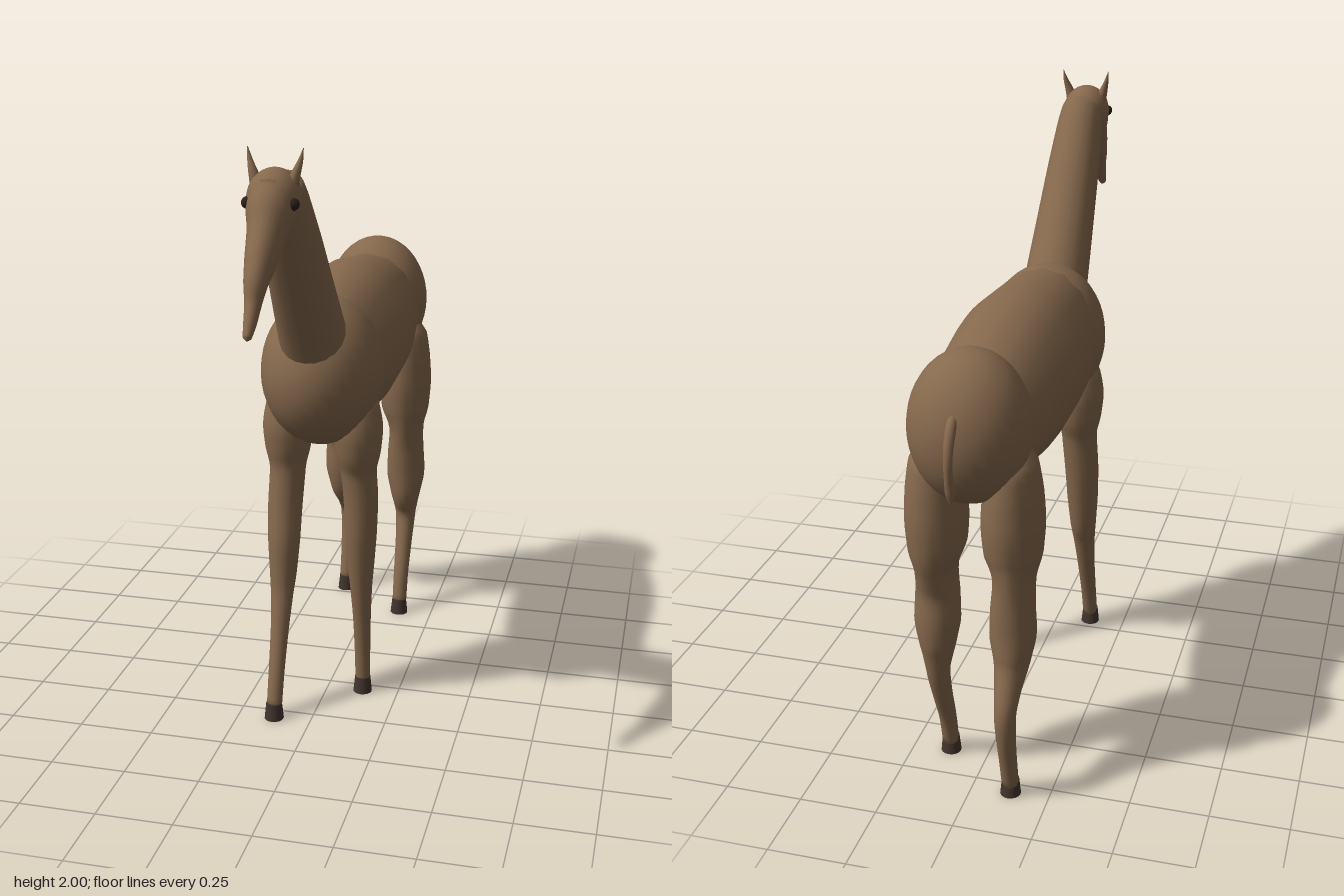
import * as THREE from 'three';

const hide = new THREE.MeshStandardMaterial({ color: 0x86694d });
hide.name = 'brown hide';
const horn = new THREE.MeshStandardMaterial({ color: 0x43352d });
horn.name = 'dark hoof';
const black = new THREE.MeshStandardMaterial({ color: 0x2a211d });
black.name = 'dark eye';

// Smooth skin through elliptical sections [x, y, z, half width, half depth]
function loft(name, sections, sides = 20, steps = 4, material = hide) {
  const path = new THREE.CatmullRomCurve3(sections.map(s => new THREE.Vector3(s[0], s[1], s[2])));
  const size = new THREE.CatmullRomCurve3(sections.map(s => new THREE.Vector3(s[3], s[4], 0)));
  const rows = (sections.length - 1) * steps;
  const across = new THREE.Vector3(1, 0, 0);
  const pos = [], index = [];
  for (let i = 0; i <= rows; i++) {
    const c = path.getPoint(i / rows), r = size.getPoint(i / rows);
    const normal = path.getTangent(i / rows).setX(0).normalize().cross(across);
    for (let j = 0; j < sides; j++) {
      const a = j / sides * Math.PI * 2;
      const p = c.clone()
        .addScaledVector(across, Math.max(r.x, 0.001) * Math.cos(a))
        .addScaledVector(normal, Math.max(r.y, 0.001) * Math.sin(a));
      pos.push(p.x, p.y, p.z);
    }
  }
  const start = pos.length / 3;
  pos.push(...path.getPoint(0).toArray(), ...path.getPoint(1).toArray());
  for (let j = 0; j < sides; j++) {
    const k = (j + 1) % sides, last = rows * sides;
    for (let i = 0; i < rows; i++) {
      const a = i * sides + j, b = i * sides + k;
      index.push(a, b, a + sides, b, b + sides, a + sides);
    }
    index.push(start, k, j, start + 1, last + j, last + k);
  }
  const geo = new THREE.BufferGeometry();
  geo.setAttribute('position', new THREE.Float32BufferAttribute(pos, 3));
  geo.setIndex(index);
  geo.computeVertexNormals();
  const mesh = new THREE.Mesh(geo, material);
  mesh.name = name;
  return mesh;
}

function ball(name, x, y, z, rx, ry, rz, material = hide) {
  const mesh = new THREE.Mesh(new THREE.SphereGeometry(1, 32, 22), material);
  mesh.position.set(x, y, z);
  mesh.scale.set(rx, ry, rz);
  mesh.name = name;
  return mesh;
}

// Leg from rows of [y, z, half width, half depth], ending in a hoof
function leg(name, side, rows) {
  const group = new THREE.Group();
  group.name = name;
  group.add(loft(name + 'Limb', rows.map(([y, z, w, d]) =>
    [side * (y > 0.8 ? 0.12 : 0.126), y, z, w, d])));
  const foot = rows[rows.length - 1];
  const hoof = new THREE.Mesh(new THREE.CylinderGeometry(0.027, 0.033, 0.058, 16), horn);
  hoof.position.set(side * 0.126, 0.029, foot[1] + 0.003);
  hoof.name = name + 'Hoof';
  group.add(hoof);
  return group;
}

export function createModel() {
  const model = new THREE.Group();
  model.name = 'longNeckedGrazer';

  // Trunk
  model.add(
    loft('barrel', [
      [0, 1.21, 0.2, 0.15, 0.19],
      [0, 1.21, 0.08, 0.188, 0.24],
      [0, 1.211, -0.08, 0.204, 0.259],
      [0, 1.212, -0.24, 0.211, 0.267],
      [0, 1.211, -0.4, 0.206, 0.257],
      [0, 1.208, -0.6, 0.186, 0.224],
      [0, 1.208, -0.74, 0.14, 0.18]], 16),
    ball('chest', 0, 1.2, 0.11, 0.2, 0.25, 0.24),
    ball('rump', 0, 1.23, -0.75, 0.186, 0.237, 0.18));

  // Neck and head
  model.add(
    loft('neck', [
      [0, 1.21, 0.145, 0.115, 0.13],
      [0, 1.37, 0.257, 0.107, 0.115],
      [0, 1.53, 0.37, 0.098, 0.105],
      [0, 1.7, 0.488, 0.088, 0.096],
      [0, 1.83, 0.578, 0.077, 0.086],
      [0, 1.88, 0.612, 0.068, 0.074],
      [0, 1.9, 0.626, 0.03, 0.035]]),
    ball('skull', 0, 1.856, 0.667, 0.08, 0.09, 0.092),
    loft('snout', [
      [0, 1.87, 0.67, 0.07, 0.08],
      [0, 1.83, 0.705, 0.071, 0.083],
      [0, 1.775, 0.755, 0.055, 0.07],
      [0, 1.712, 0.815, 0.045, 0.06],
      [0, 1.66, 0.867, 0.034, 0.042],
      [0, 1.61, 0.895, 0.024, 0.028],
      [0, 1.56, 0.93, 0.018, 0.022],
      [0, 1.53, 0.957, 0.012, 0.014],
      [0, 1.523, 0.963, 0.003, 0.004]]));
  for (const s of [-1, 1]) {
    model.add(
      loft(s > 0 ? 'leftEar' : 'rightEar', [
        [s * 0.052, 1.9, 0.668, 0.02, 0.02],
        [s * 0.063, 1.935, 0.665, 0.014, 0.015],
        [s * 0.073, 1.965, 0.658, 0.008, 0.009],
        [s * 0.081, 2.0, 0.654, 0.001, 0.001]], 12),
      ball(s > 0 ? 'leftEye' : 'rightEye', s * 0.066, 1.852, 0.712, 0.018, 0.018, 0.021, black));
  }

  // Front legs: left one upright, right one stepping forward
  model.add(
    leg('leftFrontLeg', 1, [
      [1.14, 0.11, 0.03, 0.04], [1.09, 0.11, 0.068, 0.078], [1, 0.11, 0.082, 0.094],
      [0.92, 0.105, 0.075, 0.087], [0.85, 0.097, 0.06, 0.068], [0.75, 0.09, 0.058, 0.066],
      [0.62, 0.085, 0.054, 0.063], [0.5, 0.08, 0.045, 0.05], [0.42, 0.075, 0.038, 0.04],
      [0.3, 0.06, 0.031, 0.033], [0.15, 0.045, 0.027, 0.027], [0.04, 0.037, 0.026, 0.026]]),
    leg('rightFrontLeg', -1, [
      [1.14, 0.11, 0.03, 0.04], [1.09, 0.11, 0.068, 0.078], [1, 0.11, 0.082, 0.094],
      [0.92, 0.11, 0.075, 0.085], [0.85, 0.115, 0.06, 0.066], [0.72, 0.13, 0.058, 0.062],
      [0.6, 0.15, 0.054, 0.06], [0.48, 0.166, 0.045, 0.05], [0.41, 0.184, 0.038, 0.038],
      [0.3, 0.217, 0.031, 0.032], [0.15, 0.267, 0.027, 0.026], [0.04, 0.298, 0.026, 0.025]]));

  // Hind legs: heavy thighs, the right hock set further back
  const thigh = [
    [1.17, -0.725, 0.035, 0.05], [1.11, -0.722, 0.075, 0.105], [1.02, -0.72, 0.089, 0.122],
    [0.92, -0.72, 0.095, 0.128], [0.82, -0.72, 0.088, 0.12]];
  model.add(
    leg('leftHindLeg', 1, [...thigh,
      [0.74, -0.715, 0.064, 0.102], [0.65, -0.712, 0.068, 0.082], [0.56, -0.72, 0.072, 0.08],
      [0.47, -0.722, 0.056, 0.074], [0.38, -0.73, 0.038, 0.042], [0.28, -0.7, 0.032, 0.036],
      [0.15, -0.65, 0.028, 0.029], [0.04, -0.624, 0.027, 0.026]]),
    leg('rightHindLeg', -1, [...thigh,
      [0.74, -0.735, 0.064, 0.1], [0.65, -0.75, 0.068, 0.082], [0.56, -0.752, 0.072, 0.08],
      [0.47, -0.768, 0.056, 0.074], [0.4, -0.812, 0.042, 0.05], [0.33, -0.846, 0.034, 0.038],
      [0.25, -0.843, 0.031, 0.035], [0.15, -0.822, 0.028, 0.03], [0.04, -0.797, 0.027, 0.027]]));

  // Tail
  model.add(loft('tail', [
    [0, 1.33, -0.89, 0.014, 0.014],
    [0, 1.285, -0.932, 0.016, 0.017],
    [0, 1.22, -0.958, 0.014, 0.014],
    [0, 1.16, -0.957, 0.013, 0.014],
    [0, 1.11, -0.943, 0.016, 0.018],
    [0, 1.06, -0.938, 0.002, 0.004]], 12));

  return model;
}
